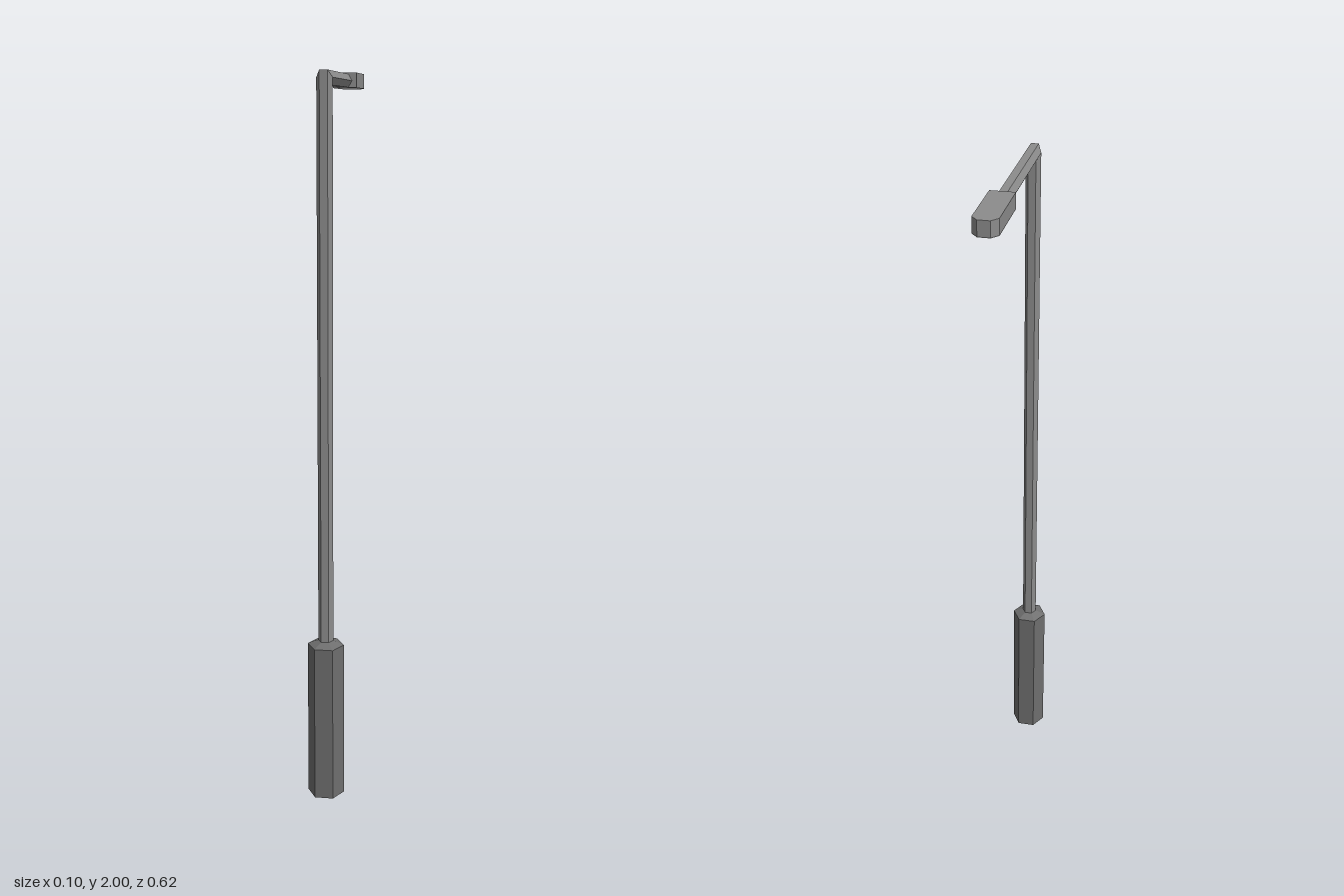
import * as THREE from 'three';

const SIDES = 6;
const POLE_Z = 0.264, ARM_Y = 1.978, TUBE_R = 0.021;

// Hexagonal tube running up the pole, through a mitred corner, along the arm
function bentTube(yStart, zEnd) {
  const positions = [], index = [];
  for (let ring = 0; ring < 3; ring++) {
    for (let i = 0; i < SIDES; i++) {
      const a = (i / SIDES) * Math.PI * 2;
      const u = Math.cos(a) * TUBE_R, v = Math.sin(a) * TUBE_R;
      positions.push(u, ring === 0 ? yStart : ARM_Y + v, ring === 2 ? zEnd : POLE_Z + v);
    }
  }
  for (let ring = 0; ring < 2; ring++) {
    for (let i = 0; i < SIDES; i++) {
      const a = ring * SIDES + i, b = ring * SIDES + ((i + 1) % SIDES);
      index.push(b, a, a + SIDES, b, a + SIDES, b + SIDES);
    }
  }
  const geometry = new THREE.BufferGeometry();
  geometry.setAttribute('position', new THREE.Float32BufferAttribute(positions, 3));
  geometry.setIndex(index);
  geometry.computeVertexNormals();
  return geometry;
}

// Upright hexagonal section with corners on the x axis, open at both ends
function hexSection(rTop, rBottom, y0, y1) {
  const geometry = new THREE.CylinderGeometry(rTop, rBottom, y1 - y0, SIDES, 1, true, Math.PI / 2);
  return geometry.translate(0, (y0 + y1) / 2, POLE_Z);
}

// Lamp outline: rectangle with the two far corners cut off
function headShape() {
  return new THREE.Shape([
    [-0.033, 0.11], [0.033, 0.11], [0.033, 0.29],
    [0.016, 0.31], [-0.016, 0.31], [-0.033, 0.29],
  ].map(([x, y]) => new THREE.Vector2(x, y)));
}

const layFlat = (geometry, y) => geometry.rotateX(-Math.PI / 2).translate(0, y, 0);

export function createModel() {
  const group = new THREE.Group();
  group.name = 'streetLamp';
  const paint = (color) => new THREE.MeshStandardMaterial({
    color, flatShading: true, side: THREE.DoubleSide,
  });
  const darkMetal = paint(0x6e6e6e), metal = paint(0x8c8c8c), glass = paint(0xcccccc);
  const add = (name, geometry, material) => {
    const mesh = new THREE.Mesh(geometry, material);
    mesh.name = name;
    group.add(mesh);
  };

  add('base', hexSection(0.051, 0.051, 0, 0.45), darkMetal);
  add('baseCollar', hexSection(TUBE_R, 0.051, 0.45, 0.462), darkMetal);
  add('poleAndArm', bentTube(0.462, -0.11), metal);

  // Lamp housing with a pale light panel underneath
  const housing = new THREE.ExtrudeGeometry(headShape(), { depth: 0.041, bevelEnabled: false });
  add('lampHead', layFlat(housing, 1.959), metal);
  add('lightPanel', layFlat(new THREE.ShapeGeometry(headShape()), 1.958), glass);

  return group;
}
